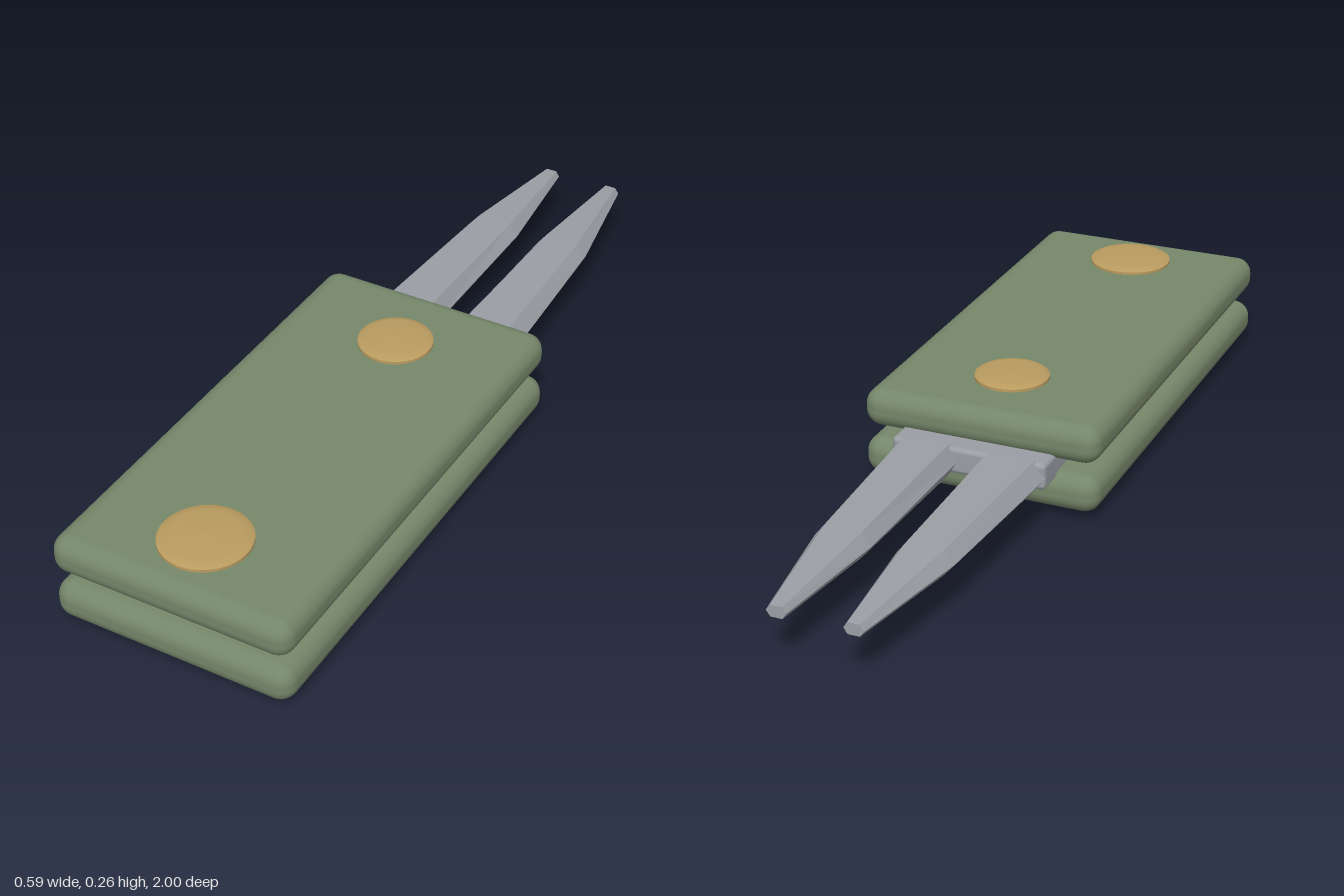
import * as THREE from 'three';
import { RoundedBoxGeometry } from 'three/addons/geometries/RoundedBoxGeometry.js';

const MID = 0.128; // height of the mirror plane between the two scales

function material(name, color, extra = {}) {
  const m = new THREE.MeshStandardMaterial({ color, ...extra });
  m.name = name;
  return m;
}

// Hexagonal prong lofted through [z, inner x, inner facet, outer facet, outer x, half height]
function prongGeometry(side) {
  const stations = [
    [-0.23, 0.027, 0.05, 0.163, 0.193, 0.039],
    [-0.68, 0.03, 0.053, 0.142, 0.167, 0.03],
    [-1.0, 0.065, 0.074, 0.102, 0.112, 0.014],
  ];
  const rings = stations.map(([z, a, b, c, d, h]) => [
    [a, 0], [b, h], [c, h], [d, 0], [c, -h], [b, -h],
  ].map(([x, y]) => [x * side, MID + y, z]));
  const pos = [];
  const tri = (a, b, c) => pos.push(...a, ...(side > 0 ? [...b, ...c] : [...c, ...b]));
  for (let s = 0; s < rings.length - 1; s++) {
    for (let i = 0; i < 6; i++) {
      const j = (i + 1) % 6;
      const [p, q] = [rings[s], rings[s + 1]];
      tri(p[i], p[j], q[j]);
      tri(p[i], q[j], q[i]);
    }
  }
  // end caps
  const [first, last] = [rings[0], rings[rings.length - 1]];
  for (let i = 1; i < 5; i++) {
    tri(first[0], first[i + 1], first[i]);
    tri(last[0], last[i], last[i + 1]);
  }
  const g = new THREE.BufferGeometry();
  g.setAttribute('position', new THREE.Float32BufferAttribute(pos, 3));
  g.computeVertexNormals();
  return g;
}

export function createModel() {
  const model = new THREE.Group();
  model.name = 'prongTool';
  const green = material('green handle', 0x75876a);
  const brass = material('brass', 0xb99b5f);
  const steel = material('steel', 0x9a9ea4);

  const add = (name, geometry, mat, x, y, z) => {
    const mesh = new THREE.Mesh(geometry, mat);
    mesh.name = name;
    mesh.position.set(x, y, z);
    model.add(mesh);
    return mesh;
  };

  // Two rounded handle scales
  const scale = new RoundedBoxGeometry(0.594, 0.095, 1.19, 4, 0.041);
  add('upperScale', scale, green, 0, 0.1925, 0.405);
  add('lowerScale', scale, green, 0, 0.0675, 0.405);

  // Steel tang between the scales and the neck carrying the prongs
  add('tang', new THREE.BoxGeometry(0.378, 0.034, 1.0), steel, 0, MID + 0.001, 0.335);
  add('neck', new RoundedBoxGeometry(0.386, 0.066, 0.16, 2, 0.012), steel, 0, MID + 0.002, -0.163);

  // Prongs
  add('leftProng', prongGeometry(1), steel, 0, 0, 0);
  add('rightProng', prongGeometry(-1), steel, 0, 0, 0);

  // Brass spacer in the gap at the butt end
  add('spacer', new THREE.CylinderGeometry(0.113, 0.113, 0.05, 40), brass, 0, MID + 0.002, 0.835);

  // Domed rivet heads, top and bottom
  for (const [name, z, r] of [['buttRivet', 0.835, 0.105], ['pivotRivet', 0.022, 0.09]]) {
    const profile = [[r, -0.01], [r, 0.008], [r, 0.008], [r * 0.95, 0.011], [r * 0.75, 0.0165], [0, 0.018]]
      .map(([x, y]) => new THREE.Vector2(x, y));
    const head = new THREE.LatheGeometry(profile, 40);
    add(name + 'Top', head, brass, 0, 0.239, z);
    add(name + 'Bottom', head, brass, 0, 0.019, z).rotation.x = Math.PI;
  }
  return model;
}
